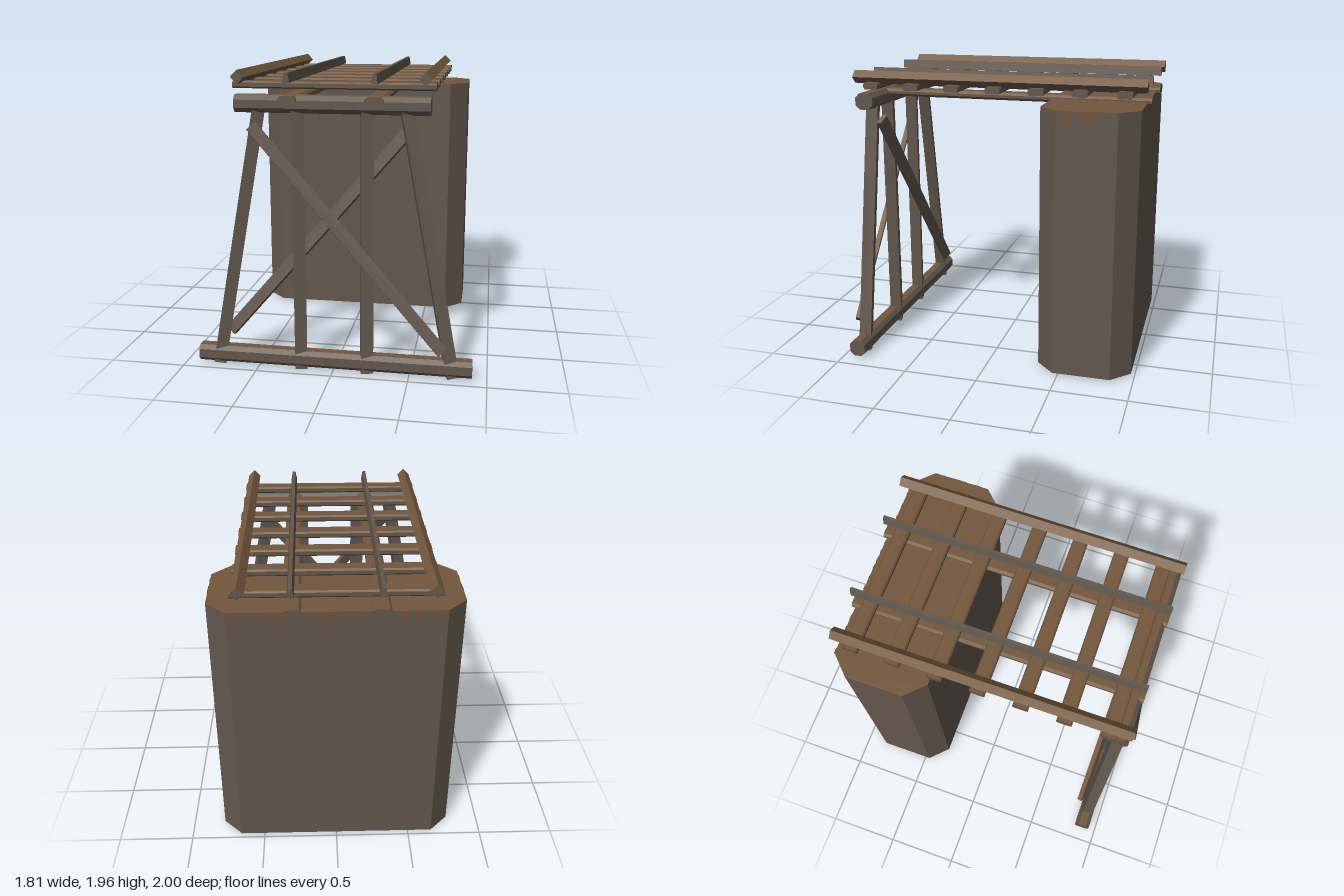
import * as THREE from 'three';

const timber = new THREE.MeshStandardMaterial({ color: 0x62574c });
timber.name = 'weathered grey';
const rust = new THREE.MeshStandardMaterial({ color: 0x74573b });
rust.name = 'rusty brown';
const streak = new THREE.MeshStandardMaterial({ color: 0x7a5230, side: THREE.DoubleSide });
streak.name = 'rust streak';

// Box section with chamfered corners (chamfer 0 gives a plain rectangle)
function section(w, h, c = 0) {
  const a = w / 2, b = h / 2;
  const pts = c
    ? [[a, -b + c], [a, b - c], [a - c, b], [-a + c, b], [-a, b - c], [-a, -b + c], [-a + c, -b], [a - c, -b]]
    : [[a, -b], [a, b], [-a, b], [-a, -b]];
  return pts.map(([x, y]) => new THREE.Vector2(x, y));
}

// Faces whose normal points upward beyond the limit take the brown colour
function weather(geometry, limit) {
  const geo = geometry.index ? geometry.toNonIndexed() : geometry;
  geo.computeVertexNormals();
  geo.clearGroups();
  const normal = geo.attributes.normal;
  for (let i = 0; i < normal.count; i += 3) geo.addGroup(i, 3, normal.getY(i) > limit ? 1 : 0);
  return geo;
}

// Straight bar of a given section between two points; "side" sets the section's x axis
function bar(name, pts, from, to, { side = [1, 0, 0], roll = 0, limit = 0.5 } = {}) {
  const a = new THREE.Vector3(...from), dir = new THREE.Vector3(...to).sub(a);
  const geo = new THREE.ExtrudeGeometry(new THREE.Shape(pts), { depth: dir.length(), bevelEnabled: false });
  const z = dir.normalize();
  const y = new THREE.Vector3().crossVectors(z, new THREE.Vector3(...side)).normalize();
  const x = new THREE.Vector3().crossVectors(y, z);
  geo.rotateZ(roll);
  geo.applyMatrix4(new THREE.Matrix4().makeBasis(x, y, z).setPosition(a));
  const mesh = new THREE.Mesh(weather(geo, limit), [timber, rust]);
  mesh.name = name;
  return mesh;
}

function createPier() {
  const group = new THREE.Group();
  group.name = 'pier';
  const block = bar('pierBlock', section(1.57, 0.635, 0.125).map((p) => new THREE.Vector2(p.x, p.y)),
    [0, 0.015, -0.6575], [0, 1.78, -0.6575]);
  group.add(block);

  // Rust streaks hanging from the top edge
  let seed = 7;
  const random = () => (seed = (seed * 16807) % 2147483647) / 2147483647;
  const tri = [];
  const addStreak = (x, z, dx, dz) => {
    const w = 0.008 + random() * 0.012, h = 0.04 + random() * 0.11;
    tri.push(x - dx * w, 1.779, z - dz * w, x + dx * w, 1.779, z + dz * w, x, 1.779 - h, z);
  };
  for (let i = 0; i < 18; i++) addStreak(-0.62 + i * 0.073 + (random() - 0.5) * 0.05, -0.978, 1, 0);
  for (const s of [-1, 1])
    for (const z of [-0.53, -0.55, -0.64, -0.67, -0.7]) addStreak(s * 0.788, z, 0, 1);
  const geo = new THREE.BufferGeometry();
  geo.setAttribute('position', new THREE.Float32BufferAttribute(tri, 3));
  geo.computeVertexNormals();
  const streaks = new THREE.Mesh(geo, streak);
  streaks.name = 'rustStreaks';
  group.add(streaks);
  return group;
}

function createTrestle() {
  const group = new THREE.Group();
  group.name = 'trestle';
  const z = 0.892;

  // Sill and cap beams
  group.add(bar('sillBeam', section(0.11, 0.11, 0.026), [-0.905, 0.075, z], [0.905, 0.075, z], { side: [0, 0, 1], limit: 0.8 }));
  group.add(bar('capBeam', section(0.125, 0.11, 0.03), [-0.61, 1.752, z], [0.61, 1.752, z], { side: [0, 0, 1], limit: 0.8 }));

  // Upright posts and splayed legs, each turned slightly about its length
  const post = section(0.08, 0.08);
  for (const s of [-1, 1]) {
    group.add(bar('post', post, [s * 0.219, 0.005, z], [s * 0.219, 1.73, z], { roll: 0.25 }));
    group.add(bar('leg', post, [s * 0.778, 0.012, z], [s * 0.464, 1.73, z], { roll: 0.25 }));
  }

  // Crossed braces, one on each face
  const plank = section(0.075, 0.035);
  group.add(bar('frontBrace', plank, [-0.495, 1.62, 0.97], [0.715, 0.205, 0.97], { side: [1.41, 1.2, 0], roll: -0.35, limit: 0.4 }));
  group.add(bar('backBrace', plank, [0.495, 1.62, 0.82], [-0.715, 0.205, 0.82], { side: [-1.41, 1.2, 0], roll: 0.35, limit: 0.4 }));
  return group;
}

function createDeck() {
  const group = new THREE.Group();
  group.name = 'deck';
  const rail = [[0.022, -0.03], [0.011, 0.03], [-0.011, 0.03], [-0.022, -0.03]].map(([x, y]) => new THREE.Vector2(x, y));

  for (const s of [-1, 1]) {
    group.add(bar('stringer', section(0.115, 0.05, 0.016), [s * 0.268, 1.78, -1], [s * 0.268, 1.78, 0.965]));
    group.add(bar('rail', rail, [s * 0.272, 1.915, -1], [s * 0.272, 1.915, 0.96], { limit: 2 }));
    // Square guard timbers set on edge
    group.add(bar('guardTimber', section(0.061, 0.061), [s * 0.579, 1.917, -1], [s * 0.579, 1.917, 0.962], { roll: Math.PI / 4 }));
  }

  // Sleepers across the stringers
  for (let i = 0; i < 7; i++) {
    const z = 0.827 - i * 0.282;
    group.add(bar('sleeper', section(0.1, 0.045, 0.01), [-0.637, 1.863, z], [0.637, 1.863, z], { side: [0, 0, 1] }));
  }
  return group;
}

export function createModel() {
  const model = new THREE.Group();
  model.name = 'railTrestle';
  model.add(createPier(), createTrestle(), createDeck());
  return model;
}
